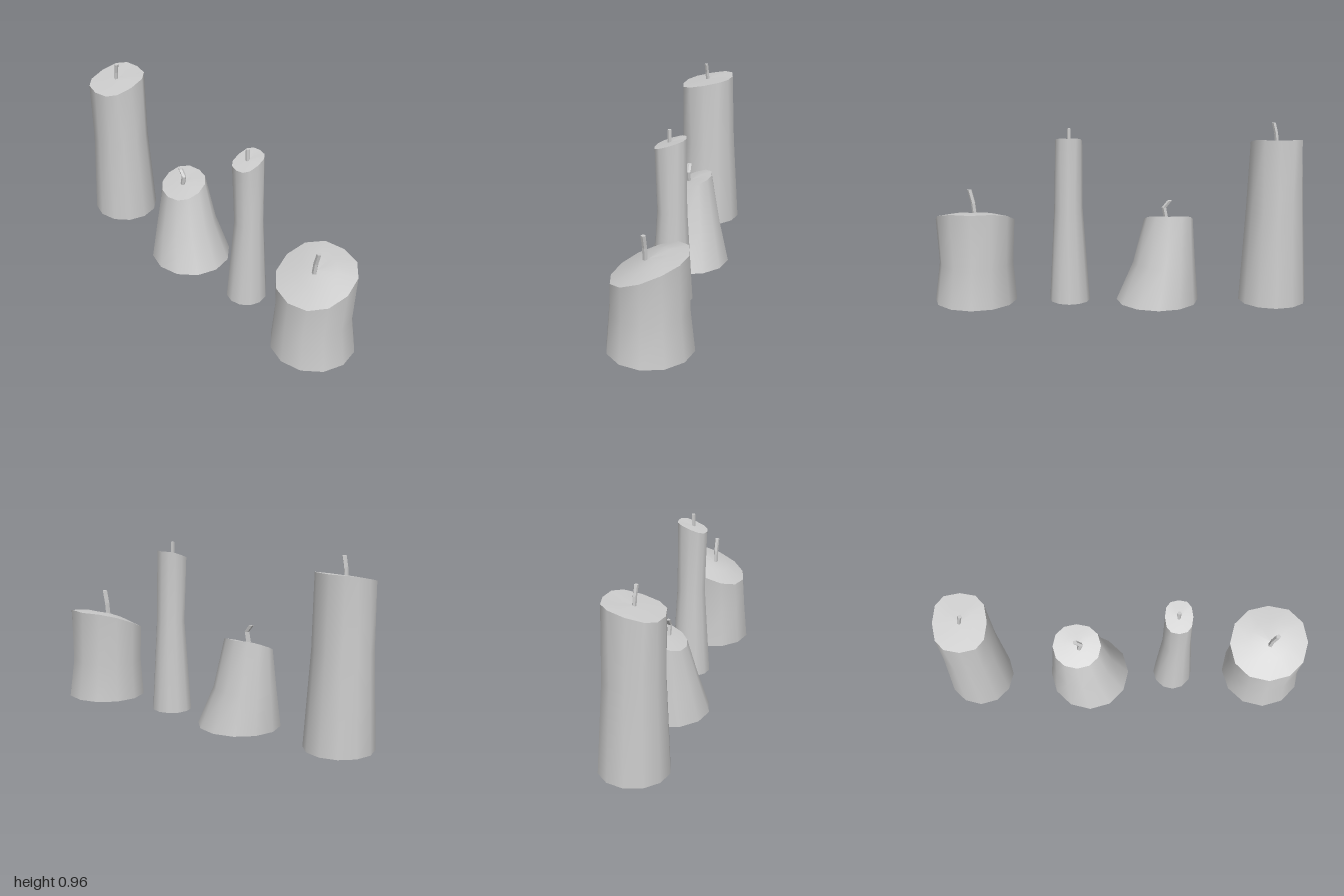
import * as THREE from 'three';

// Skin closed rings of equal length, bottom to top (or rim to centre)
function loft(rings) {
  const n = rings[0].length, index = [];
  for (let r = 0; r < rings.length - 1; r++) {
    for (let i = 0; i < n; i++) {
      const a = r * n + i, b = r * n + (i + 1) % n;
      index.push(a, a + n, b, b, a + n, b + n);
    }
  }
  const g = new THREE.BufferGeometry();
  g.setAttribute('position', new THREE.Float32BufferAttribute(rings.flat(2), 3));
  g.setIndex(index);
  g.computeVertexNormals();
  return g;
}

// Oval ring inside the given x and z limits; power < 1 makes it squarer.
// The height runs from yFront to yBack, levelling off towards the back.
function ring([x0, x1, z0, z1], yFront, yBack = yFront, power = 1, sides = 12) {
  const bend = v => Math.sign(v) * Math.pow(Math.abs(v), power);
  return Array.from({ length: sides }, (_, i) => {
    const a = i / sides * Math.PI * 2;
    const c = bend(Math.cos(a)), s = bend(Math.sin(a));
    const t = Math.min(1, (1 - s) / 2 * 1.12);
    return [(x0 + x1) / 2 + c * (x1 - x0) / 2, yFront + (yBack - yFront) * t,
      (z0 + z1) / 2 + s * (z1 - z0) / 2];
  });
}

// Shrink a rim towards a centre point
const shrink = (rim, centre, k, lift) => rim.map(p =>
  p.map((v, j) => centre[j] + (v - centre[j]) * k + (j === 1 ? lift : 0)));

const candles = [
  { name: 'tallCandle', base: [-1, -0.64, -0.18, 0.18], mid: [-0.975, -0.67, -0.147, 0.163], midY: 0.5,
    rim: [-0.96, -0.687, -0.133, 0.163], front: 0.826, back: 0.887, power: 0.78, dome: 0.004,
    wick: [[-0.825, 0.86, 0.016], [-0.82, 0.905, 0.018], [-0.807, 0.958, 0.022]], size: 0.011 },
  { name: 'leaningCandle', base: [-0.42, 0.02, -0.22, 0.22], mid: [-0.402, -0.07, -0.165, 0.165], midY: 0.21,
    rim: [-0.387, -0.127, -0.112, 0.112], front: 0.4, back: 0.482, power: 0.95, dome: 0.008,
    wick: [[-0.245, 0.45, 0.015], [-0.234, 0.505, 0.015], [-0.263, 0.542, 0.015]], size: 0.013 },
  { name: 'thinCandle', base: [0.165, 0.38, -0.108, 0.108], mid: [0.2, 0.352, -0.08, 0.076], midY: 0.5,
    rim: [0.2, 0.342, -0.074, 0.087], front: 0.836, back: 0.888, power: 0.8, dome: 0.002,
    wick: [[0.27, 0.855, 0.011], [0.27, 0.9, 0.011], [0.27, 0.93, 0.011]], size: 0.01 },
  { name: 'wideCandle', base: [0.56, 1, -0.22, 0.22], mid: [0.577, 0.972, -0.196, 0.202], midY: 0.21,
    rim: [0.565, 0.985, -0.19, 0.19], front: 0.366, back: 0.505, power: 0.95, dome: 0.035,
    wick: [[0.778, 0.465, 0.02], [0.785, 0.53, 0.02], [0.803, 0.6, 0.022]], size: 0.013 },
];

export function createModel() {
  const model = new THREE.Group();
  const wax = new THREE.MeshStandardMaterial({ color: 0xcccccc, side: THREE.DoubleSide });
  const cord = new THREE.MeshStandardMaterial({ color: 0xcccccc, flatShading: true });

  for (const c of candles) {
    const candle = new THREE.Group();
    candle.name = c.name;
    const add = (name, geometry, material) => {
      const mesh = new THREE.Mesh(geometry, material);
      mesh.name = name;
      candle.add(mesh);
    };

    // Wall, open underneath
    const rim = ring(c.rim, c.front, c.back, c.power);
    add('wall', loft([ring(c.base, 0), ring(c.mid, c.midY), rim]), wax);

    // Sloping, slightly domed top
    const [x0, x1, z0, z1] = c.rim;
    const centre = [(x0 + x1) / 2, (c.front + c.back) / 2 + 0.003, (z0 + z1) / 2];
    add('top', loft([rim, shrink(rim, centre, 0.5, c.dome * 0.8), shrink(rim, centre, 0, c.dome)]), wax);

    // Bent wick with a closed tip
    const h = c.size;
    const rings = c.wick.map(([x, y, z]) => ring([x - h, x + h, z - h, z + h], y, y, 1, 5));
    rings.push(shrink(rings[2], c.wick[2], 0, 0));
    add('wick', loft(rings), cord);

    model.add(candle);
  }
  return model;
}
